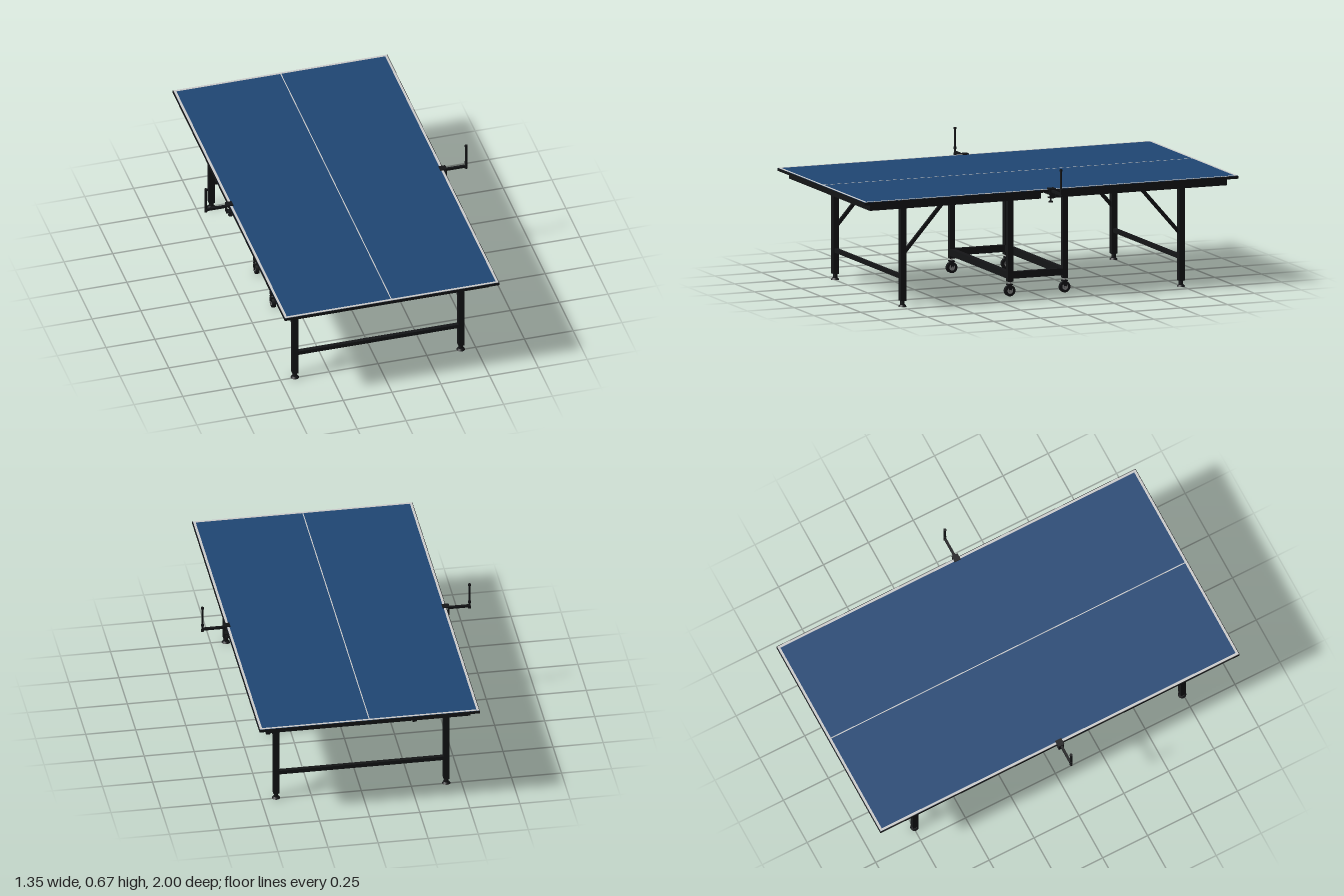
import * as THREE from 'three';

const mat = (color) => new THREE.MeshStandardMaterial({ color });
const BLACK = mat(0x141517), BLUE = mat(0x1f4674), WHITE = mat(0xd8d8d4), STEEL = mat(0x8a8a8a);

export function createModel() {
  const model = new THREE.Group();
  model.name = 'tableTennisTable';

  const add = (parent, name, geometry, material, x, y, z) => {
    const mesh = new THREE.Mesh(geometry, material);
    mesh.name = name;
    mesh.position.set(x, y, z);
    parent.add(mesh);
    return mesh;
  };
  const box = (parent, name, w, h, d, x, y, z, material = BLACK) =>
    add(parent, name, new THREE.BoxGeometry(w, h, d), material, x, y, z);
  const rod = (parent, name, r, h, x, y, z, material = BLACK, r2 = r) =>
    add(parent, name, new THREE.CylinderGeometry(r, r2, h, 20), material, x, y, z);
  const group = (name, x = 0, y = 0, z = 0) => {
    const g = new THREE.Group();
    g.name = name;
    g.position.set(x, y, z);
    model.add(g);
    return g;
  };

  for (const s of [1, -1]) {
    // Playing surface, one half at each end
    const top = group(s > 0 ? 'frontTop' : 'backTop');
    box(top, 'board', 1.1, 0.013, 1, 0, 0.5475, s * 0.5);
    box(top, 'playingSurface', 1.094, 0.002, 0.997, 0, 0.555, s * 0.4985, BLUE);
    box(top, 'endLine', 1.094, 0.002, 0.012, 0, 0.5556, s * 0.991, WHITE);
    box(top, 'centreLine', 0.005, 0.002, 0.985, 0, 0.5556, s * 0.4925, WHITE);
    for (const x of [-1, 1]) box(top, 'sideLine', 0.012, 0.002, 0.985, x * 0.541, 0.5556, s * 0.4925, WHITE);

    // Apron frame under the board
    const apron = group(s > 0 ? 'frontApron' : 'backApron');
    for (const x of [-1, 1]) box(apron, 'sideRail', 0.02, 0.037, 0.915, x * 0.5, 0.5235, s * 0.4975);
    for (const z of [0.05, 0.945]) box(apron, 'endRail', 0.98, 0.037, 0.02, 0, 0.5235, s * z);

    // End legs with levelling feet, stretcher and diagonal braces
    const legs = group(s > 0 ? 'frontLegs' : 'backLegs', 0, 0, s * 0.745);
    box(legs, 'stretcher', 0.82, 0.02, 0.02, 0, 0.148, 0);
    box(legs, 'topBar', 0.98, 0.025, 0.025, 0, 0.525, 0);
    for (const x of [-0.425, 0.425]) {
      box(legs, 'endLeg', 0.03, 0.51, 0.03, x, 0.285, 0);
      rod(legs, 'footStem', 0.011, 0.024, x, 0.02, 0);
      rod(legs, 'footPad', 0.014, 0.01, x, 0.005, 0, BLACK, 0.021);
      const brace = box(legs, 'brace', 0.014, 0.335, 0.017, x, 0.385, -s * 0.11);
      brace.rotation.x = -s * Math.atan2(0.22, 0.25);
    }

    // Inner legs on the wheeled undercarriage
    const carriage = group(s > 0 ? 'frontCarriage' : 'backCarriage', 0, 0, s * 0.147);
    box(carriage, 'lowerBar', 0.71, 0.034, 0.026, 0, 0.107, 0);
    box(carriage, 'upperBar', 0.98, 0.025, 0.025, 0, 0.525, 0);
    for (const x of [-0.366, 0.366]) {
      box(carriage, 'innerLeg', 0.028, 0.465, 0.028, x, 0.308, 0);
      rod(carriage, 'casterStem', 0.006, 0.02, x, 0.068, 0, STEEL);
      box(carriage, 'casterFork', 0.026, 0.006, 0.026, x, 0.061, 0);
      for (const f of [-0.0115, 0.0115]) box(carriage, 'forkArm', 0.003, 0.034, 0.016, x + f, 0.045, 0);
      rod(carriage, 'wheel', 0.028, 0.018, x, 0.03, 0).rotation.z = Math.PI / 2;
      rod(carriage, 'axle', 0.006, 0.03, x, 0.03, 0, STEEL).rotation.z = Math.PI / 2;
      for (const f of [-0.0094, 0.0094])
        rod(carriage, 'hub', 0.015, 0.001, x + f, 0.03, 0, STEEL).rotation.z = Math.PI / 2;
    }

    // Side bar joining the two pairs of inner legs
    box(model, 'carriageSideBar', 0.024, 0.034, 0.268, s * 0.366, 0.107, 0);

    // Net post with its clamp
    const post = group(s > 0 ? 'leftNetPost' : 'rightNetPost');
    box(post, 'clampTop', 0.034, 0.006, 0.034, s * 0.547, 0.5585, 0);
    box(post, 'clampBack', 0.005, 0.046, 0.03, s * 0.563, 0.5375, 0);
    box(post, 'clampBottom', 0.032, 0.005, 0.03, s * 0.549, 0.515, 0);
    rod(post, 'clampScrew', 0.004, 0.045, s * 0.541, 0.512, 0);
    rod(post, 'screwPad', 0.011, 0.006, s * 0.541, 0.537, 0);
    rod(post, 'screwKnob', 0.011, 0.007, s * 0.541, 0.492, 0);
    box(post, 'arm', 0.105, 0.012, 0.012, s * 0.615, 0.548, 0);
    rod(post, 'upright', 0.0055, 0.138, s * 0.667, 0.604, 0);
    for (const y of [0.54, 0.57, 0.668]) rod(post, 'collar', 0.0075, 0.01, s * 0.667, y, 0);
  }
  return model;
}
